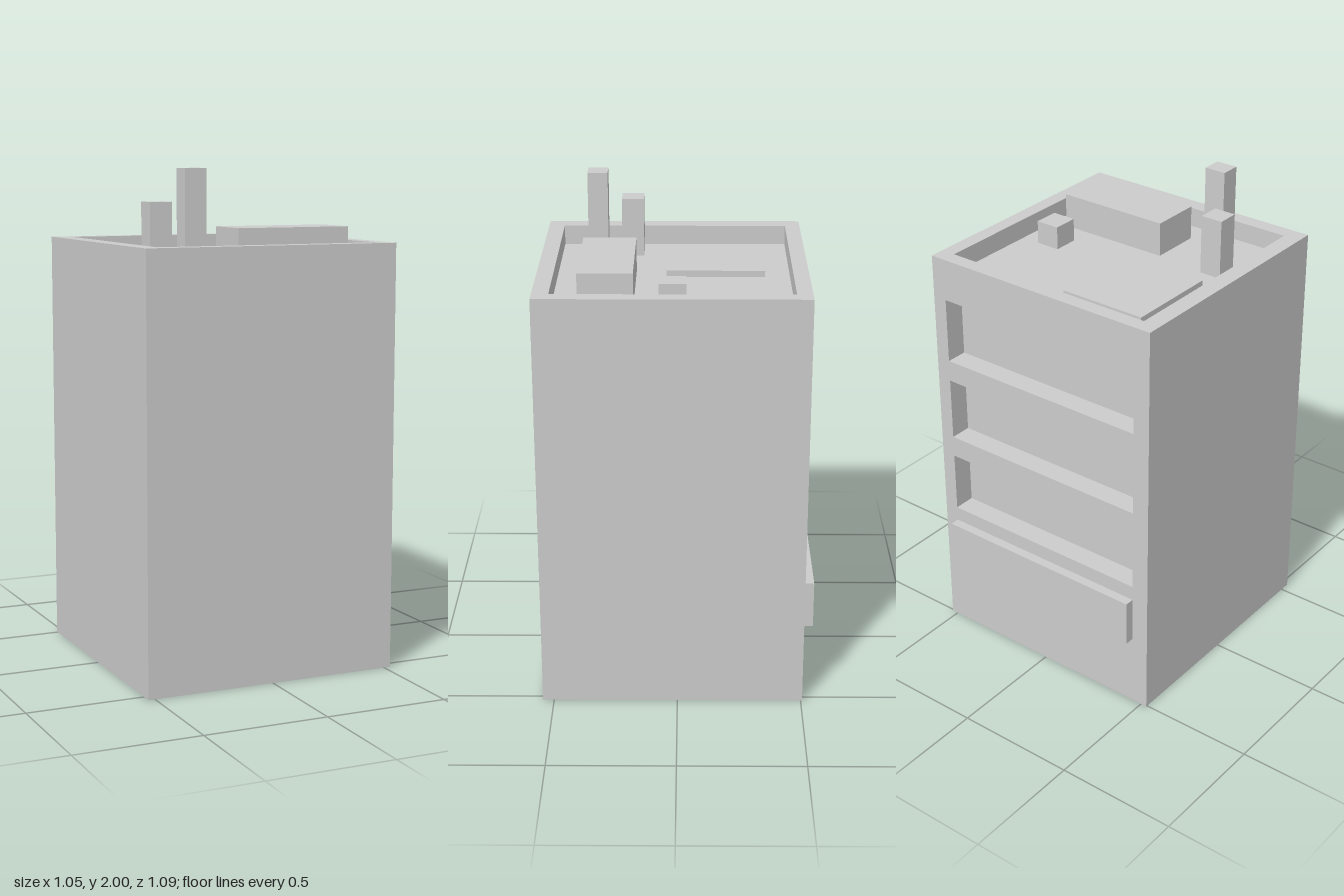
import * as THREE from 'three';

const material = new THREE.MeshStandardMaterial({ color: 0xcccccc, flatShading: true });

// Overall limits of the tower and its recesses
const X = 0.527, FRONT = 0.545, BACK = -0.506;
const IN_X0 = -0.455, IN_X1 = 0.467;
const ROOF = 1.63, RIM = 1.71, NICHE_DEPTH = 0.09;

function add(group, name, geometry) {
  const mesh = new THREE.Mesh(geometry, material);
  mesh.name = name;
  group.add(mesh);
  return mesh;
}

// Box given by its limits on each axis
function addBox(group, name, [x0, x1], [y0, y1], [z0, z1]) {
  const mesh = add(group, name, new THREE.BoxGeometry(x1 - x0, y1 - y0, z1 - z0));
  mesh.position.set((x0 + x1) / 2, (y0 + y1) / 2, (z0 + z1) / 2);
}

function rectangle(Type, x0, x1, y0, y1) {
  return new Type([[x0, y0], [x1, y0], [x1, y1], [x0, y1]].map(p => new THREE.Vector2(...p)));
}

// Rectangular plate with rectangular openings
function plate(outer, openings, depth) {
  const shape = rectangle(THREE.Shape, ...outer);
  shape.holes = openings.map(o => rectangle(THREE.Path, ...o));
  return new THREE.ExtrudeGeometry(shape, { depth, bevelEnabled: false });
}

export function createModel() {
  const building = new THREE.Group();
  building.name = 'building';

  // Solid core
  addBox(building, 'core', [-X, X], [0, ROOF], [BACK + NICHE_DEPTH, FRONT]);

  // Back wall with three long recessed window bands
  const bands = [[0.565, 0.82], [0.91, 1.174], [1.264, 1.535]];
  const wall = plate([-X, X, 0, ROOF], bands.map(b => [IN_X0, IN_X1, ...b]), NICHE_DEPTH);
  add(building, 'backWall', wall).position.z = BACK;

  // Canopy slab below the bands
  addBox(building, 'canopy', [IN_X0, IN_X1], [0.31, 0.503], [-0.545, BACK]);

  // Parapet around the sunken roof
  const parapet = plate([-X, X, -FRONT, -BACK], [[IN_X0, IN_X1, -0.48, 0.445]], RIM - ROOF);
  parapet.rotateX(-Math.PI / 2);
  add(building, 'parapet', parapet).position.y = ROOF;

  // Rooftop blocks: name, x limits, z limits, top height
  const blocks = [
    ['roofHatch', [-0.368, 0.002], [-0.346, 0.047], 1.656],
    ['plantRoom', [-0.075, 0.403], [0.167, 0.379], 1.77],
    ['vent', [0.287, 0.388], [-0.033, 0.072], 1.725],
    ['shortChimney', [-0.382, -0.29], [0.142, 0.232], 1.87],
    ['tallChimney', [-0.293, -0.204], [0.285, 0.366], 2],
  ];
  for (const [name, x, z, top] of blocks) addBox(building, name, x, [ROOF, top], z);

  return building;
}
